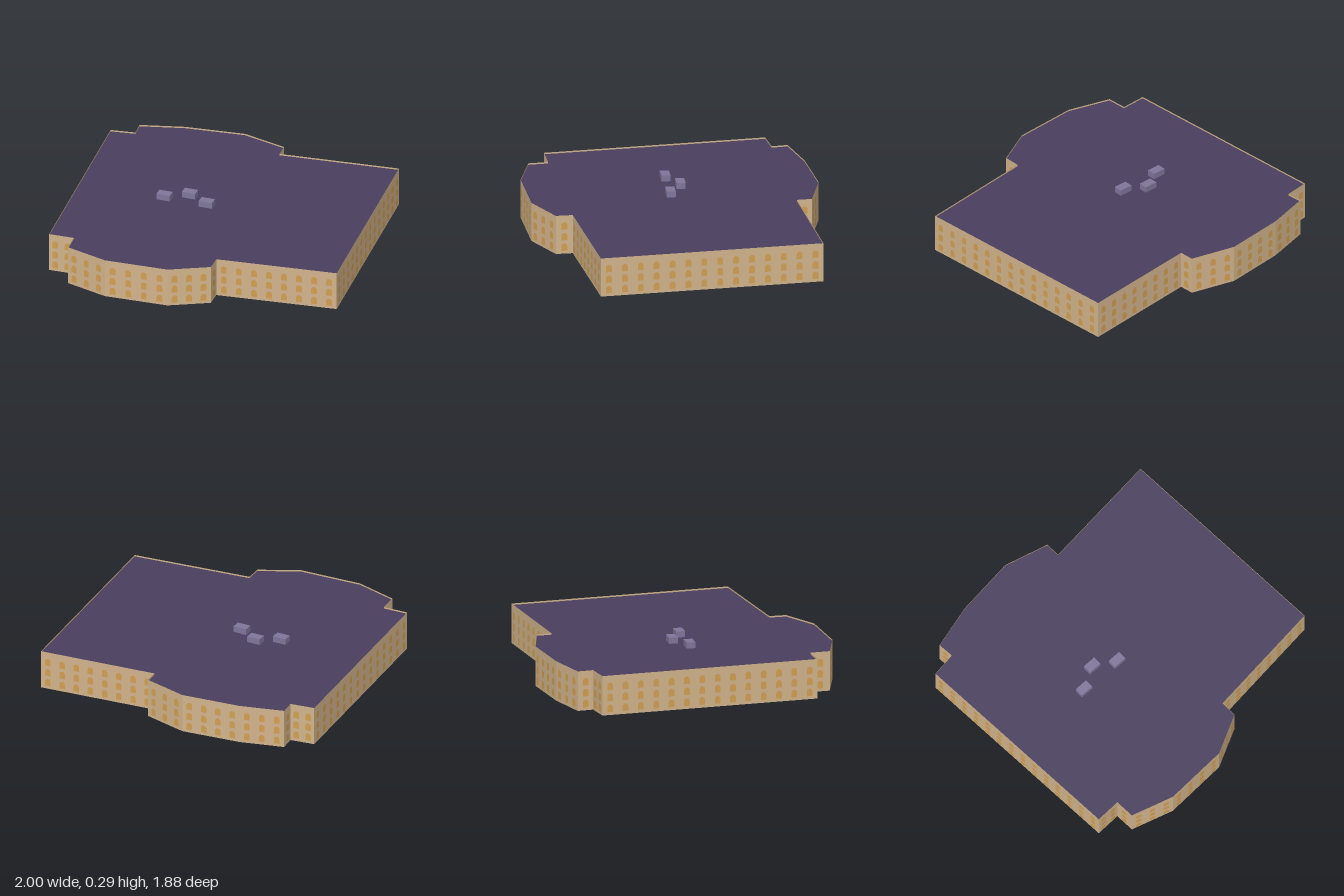
import * as THREE from 'three';
import { mergeGeometries } from 'three/addons/utils/BufferGeometryUtils.js';

const WALL_TOP = 0.26, ROOF_Y = 0.25, BAY = 0.1, FLOOR = 0.072;

// Ground plan corners as [x, z], clockwise seen from above
const PLAN = [
  [-1, -0.7], [-0.84, -0.722], [-0.85, -0.825], [-0.567, -0.9],
  [-0.176, -0.942], [0.115, -0.863], [0.12, -0.767], [0.9, -0.842],
  [0.998, 0.597], [0.214, 0.682], [0.216, 0.791], [-0.032, 0.917],
  [-0.449, 0.936], [-0.727, 0.853], [-0.735, 0.724], [-0.9, 0.73],
];

function material(name, color, side = THREE.FrontSide) {
  const m = new THREE.MeshStandardMaterial({ color, side });
  m.name = name;
  return m;
}

// Round-headed window, standing on y = 0
function archGeometry(w, h) {
  const r = w / 2;
  const s = new THREE.Shape();
  s.moveTo(-r, 0);
  s.lineTo(r, 0);
  s.lineTo(r, h - r);
  s.absarc(0, h - r, r, 0, Math.PI, false);
  s.closePath();
  return new THREE.ShapeGeometry(s, 5);
}

export function createModel() {
  const model = new THREE.Group();
  model.name = 'courthouseBlock';
  const stone = material('sandstone', 0xd2b48c, THREE.DoubleSide);
  const glow = material('goldenWindow', 0xd2a052);
  const slate = material('purpleRoof', 0x4a3f5f, THREE.DoubleSide);
  const metal = material('roofUnitGrey', 0x81769a);

  const add = (name, geometry, mat, parent = model) => {
    const mesh = new THREE.Mesh(geometry, mat);
    mesh.name = name;
    parent.add(mesh);
    return mesh;
  };

  // Facades: one wall per plan edge, with three rows of windows
  const arch = archGeometry(0.038, 0.05);
  PLAN.forEach(([x0, z0], i) => {
    const [x1, z1] = PLAN[(i + 1) % PLAN.length];
    const dx = x1 - x0, dz = z1 - z0, length = Math.hypot(dx, dz);
    const facade = new THREE.Group();
    facade.name = `facade${i + 1}`;
    facade.position.set((x0 + x1) / 2, 0, (z0 + z1) / 2);
    facade.rotation.y = Math.atan2(dz, -dx);
    model.add(facade);

    add('wall', new THREE.PlaneGeometry(length, WALL_TOP).translate(0, WALL_TOP / 2, 0), stone, facade);

    const count = Math.max(1, Math.round(length / BAY));
    const panes = [];
    for (let row = 0; row < 3; row++) {
      for (let c = 0; c < count; c++) {
        const x = ((c + 0.5) / count - 0.5) * length;
        panes.push(arch.clone().translate(x, 0.02 + row * FLOOR, 0.002));
      }
    }
    add('windows', mergeGeometries(panes), glow, facade);
  });

  // Flat roof set just below the parapet
  const outline = new THREE.Shape(PLAN.map(([x, z]) => new THREE.Vector2(x, -z)));
  add('roof', new THREE.ShapeGeometry(outline).rotateX(-Math.PI / 2).translate(0, ROOF_Y, 0), slate);

  // Rooftop ventilation units
  [[-0.375, 0.018], [-0.232, -0.062], [-0.09, 0.018]].forEach(([x, z]) => {
    add('roofUnit', new THREE.BoxGeometry(0.09, 0.04, 0.058), metal).position.set(x, ROOF_Y + 0.02, z);
  });

  return model;
}
